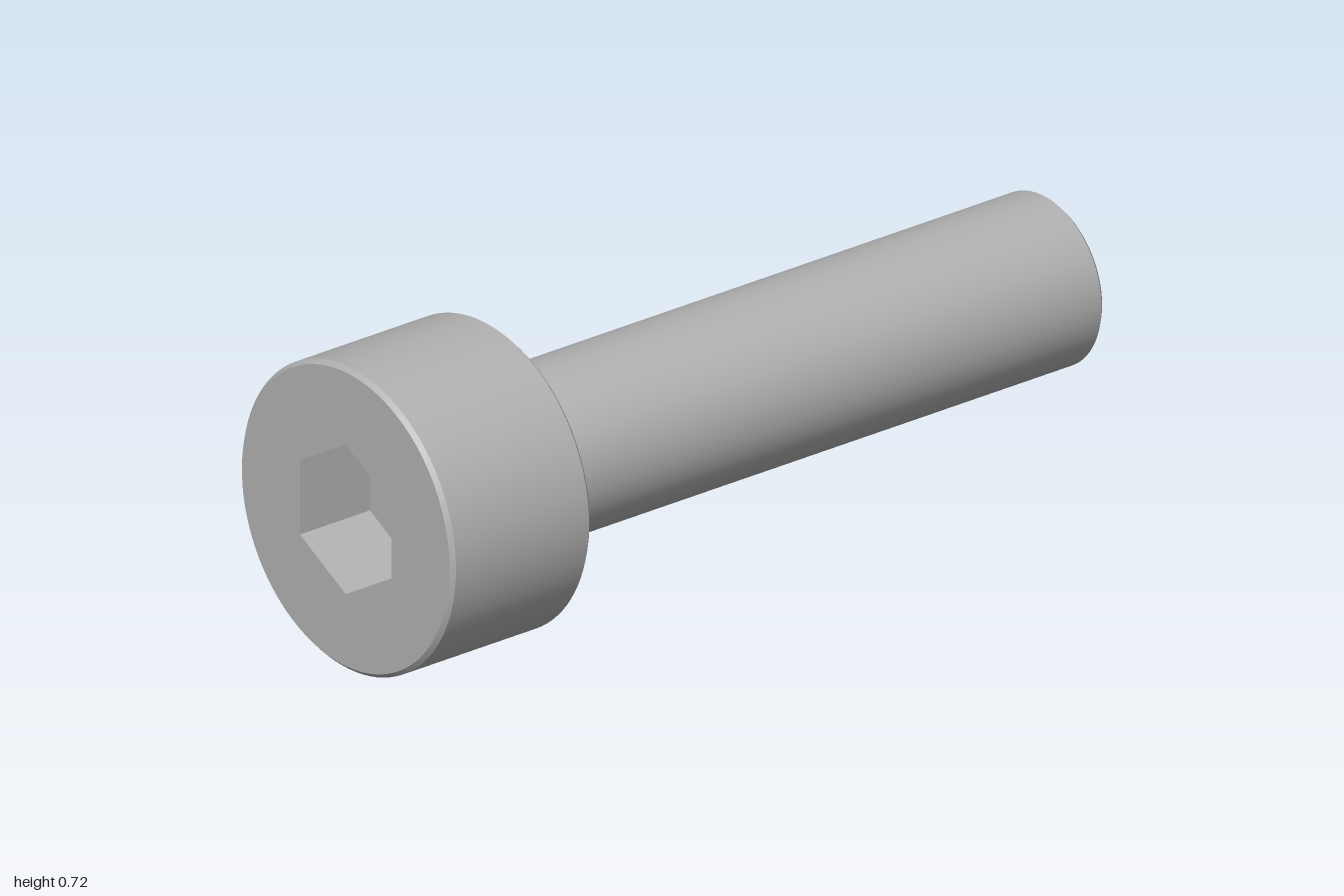
import * as THREE from 'three';
import { mergeGeometries, toCreasedNormals } from 'three/addons/utils/BufferGeometryUtils.js';

const SEGMENTS = 96;
const HEAD_R = 0.361, SHANK_R = 0.2, CHAMFER = 0.01;
const HEAD_BACK = 0.6, FRONT = 1, BACK = -1;
const HEX_R = 0.179, HEX_DEPTH = 0.2;

// Turned part along z; the profile lists [radius, z] from back to front
function turned(profile) {
  const points = profile.map(([r, z]) => new THREE.Vector2(r, z));
  const geometry = new THREE.LatheGeometry(points, SEGMENTS).rotateX(Math.PI / 2);
  geometry.deleteAttribute('normal');
  return toCreasedNormals(geometry, Math.PI / 6);
}

// Front face of the head: a disc with a hexagonal opening
function headFace() {
  const shape = new THREE.Shape().absarc(0, 0, HEAD_R - CHAMFER, 0, Math.PI * 2, false);
  const corners = [];
  for (let i = 0; i < 6; i++) {
    const a = Math.PI / 2 - i * Math.PI / 3;
    corners.push(new THREE.Vector2(HEX_R * Math.cos(a), HEX_R * Math.sin(a)));
  }
  shape.holes.push(new THREE.Path(corners));
  return new THREE.ShapeGeometry(shape, SEGMENTS).translate(0, 0, FRONT);
}

// Hexagonal socket: inward-facing walls and a flat floor
function socket() {
  const walls = new THREE.CylinderGeometry(HEX_R, HEX_R, HEX_DEPTH, 6, 1, true)
    .rotateX(Math.PI / 2)
    .scale(-1, 1, 1)
    .translate(0, 0, FRONT - HEX_DEPTH / 2)
    .toNonIndexed();
  walls.computeVertexNormals();
  const floor = new THREE.CircleGeometry(HEX_R, 6, Math.PI / 2)
    .translate(0, 0, FRONT - HEX_DEPTH)
    .toNonIndexed();
  return mergeGeometries([walls, floor]);
}

export function createModel() {
  const steel = new THREE.MeshStandardMaterial({ color: 0xb0b0b0 });
  steel.name = 'steel grey';

  const bolt = new THREE.Group();
  bolt.name = 'socketHeadBolt';
  const add = (name, geometry) => {
    const mesh = new THREE.Mesh(geometry, steel);
    mesh.name = name;
    bolt.add(mesh);
  };

  // Plain shank with a chamfered tip
  add('shank', turned([
    [0, BACK], [SHANK_R - CHAMFER, BACK], [SHANK_R, BACK + CHAMFER], [SHANK_R, HEAD_BACK],
  ]));

  // Head chamfered at both ends
  add('head', turned([
    [SHANK_R, HEAD_BACK], [HEAD_R - CHAMFER, HEAD_BACK], [HEAD_R, HEAD_BACK + CHAMFER],
    [HEAD_R, FRONT - CHAMFER], [HEAD_R - CHAMFER, FRONT],
  ]));
  add('headFace', headFace());
  add('hexSocket', socket());

  bolt.position.y = HEAD_R;
  return bolt;
}
